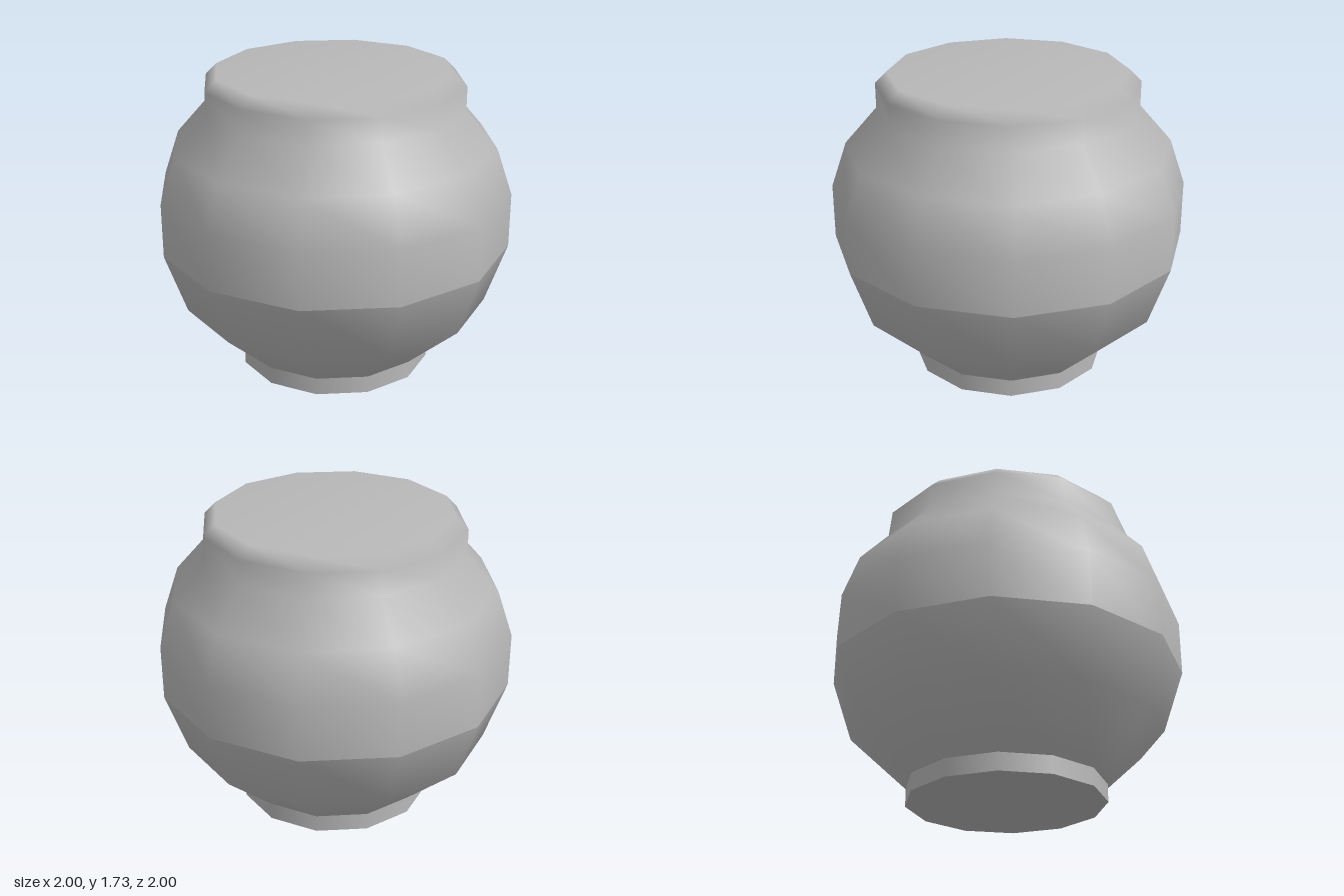
import * as THREE from 'three';

const SIDES = 12;

export function createModel() {
  const pot = new THREE.Group();
  pot.name = 'pot';
  const clay = new THREE.MeshStandardMaterial({ name: 'grey clay', color: 0xb8b8b8 });

  const add = (name, geometry) => {
    const mesh = new THREE.Mesh(geometry, clay);
    mesh.name = name;
    pot.add(mesh);
    return mesh;
  };
  // Each turned section is smooth within itself and creased where it meets the next
  const turn = (name, profile) =>
    add(name, new THREE.LatheGeometry(profile.map(([r, y]) => new THREE.Vector2(r, y)), SIDES));

  // Foot ring and its flat underside
  turn('foot', [[0.555, 0], [0.555, 0.1]]);
  add('base', new THREE.CircleGeometry(0.555, SIDES).rotateX(Math.PI / 2));

  // Lower bowl
  turn('lowerBody', [[0.555, 0.1], [0.88, 0.4], [1, 0.75]]);

  // Upper body, neck, bevelled rim and closed top
  turn('upperBody', [
    [1, 0.75], [1, 1.06], [0.91, 1.32], [0.73, 1.525],
    [0.73, 1.665], [0.665, 1.73], [0, 1.73],
  ]);

  return pot;
}
